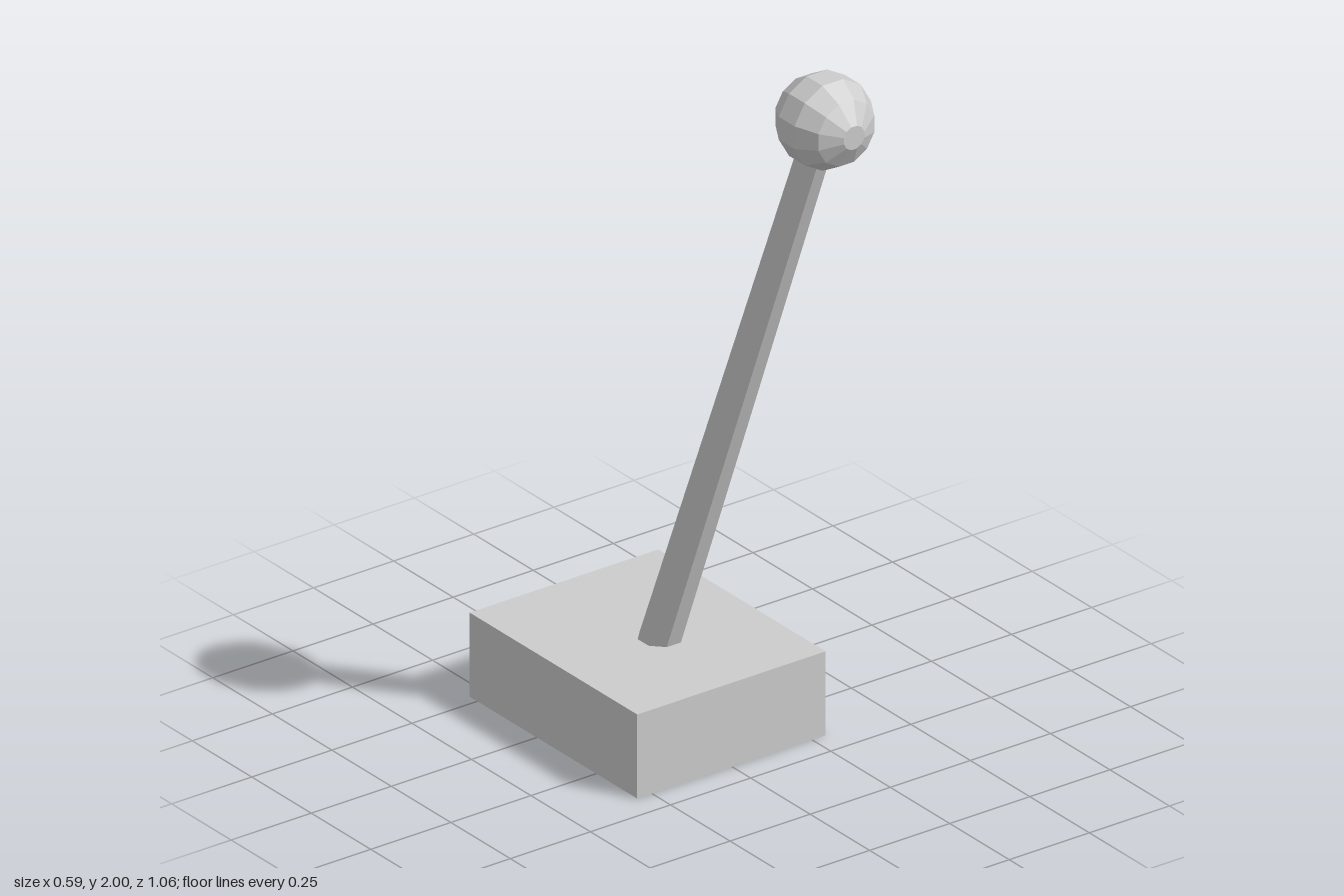
import * as THREE from 'three';

export function createModel() {
  const group = new THREE.Group();
  const grey = new THREE.MeshStandardMaterial({ color: 0xcccccc });
  grey.name = 'light grey';

  function add(name, geometry) {
    // split vertices so every facet is flat
    const flat = geometry.index ? geometry.toNonIndexed() : geometry;
    flat.computeVertexNormals();
    const mesh = new THREE.Mesh(flat, grey);
    mesh.name = name;
    group.add(mesh);
    return mesh;
  }

  // rectangular base block
  add('base', new THREE.BoxGeometry(0.588, 0.236, 0.704)).position.set(-0.002, 0.118, -0.18);

  // tapered eight-sided rod leaning forward and slightly to its left
  const bottom = new THREE.Vector3(0.002, 0.15, -0.168);
  const top = new THREE.Vector3(0.111, 1.83, 0.39);
  const axis = top.clone().sub(bottom);
  const rodGeometry = new THREE.CylinderGeometry(0.0455, 0.058, axis.length(), 8);
  rodGeometry.rotateY(Math.PI / 8);
  const rod = add('rod', rodGeometry);
  rod.position.copy(bottom).add(top).multiplyScalar(0.5);
  rod.quaternion.setFromUnitVectors(new THREE.Vector3(0, 1, 0), axis.normalize());

  // faceted ball with flat caps facing front and back
  const radius = 0.1278;
  const profile = [new THREE.Vector2(0, -radius * Math.cos(Math.PI / 12))];
  for (let i = 0; i < 6; i++) {
    const a = (Math.PI / 12) * (1 + 2 * i);
    profile.push(new THREE.Vector2(radius * Math.sin(a), -radius * Math.cos(a)));
  }
  profile.push(new THREE.Vector2(0, radius * Math.cos(Math.PI / 12)));
  const ballGeometry = new THREE.LatheGeometry(profile, 12);
  ballGeometry.rotateY(Math.PI / 12);
  ballGeometry.rotateX(Math.PI / 2);
  add('ball', ballGeometry).position.set(0.115, 1.8766, 0.407);

  return group;
}
